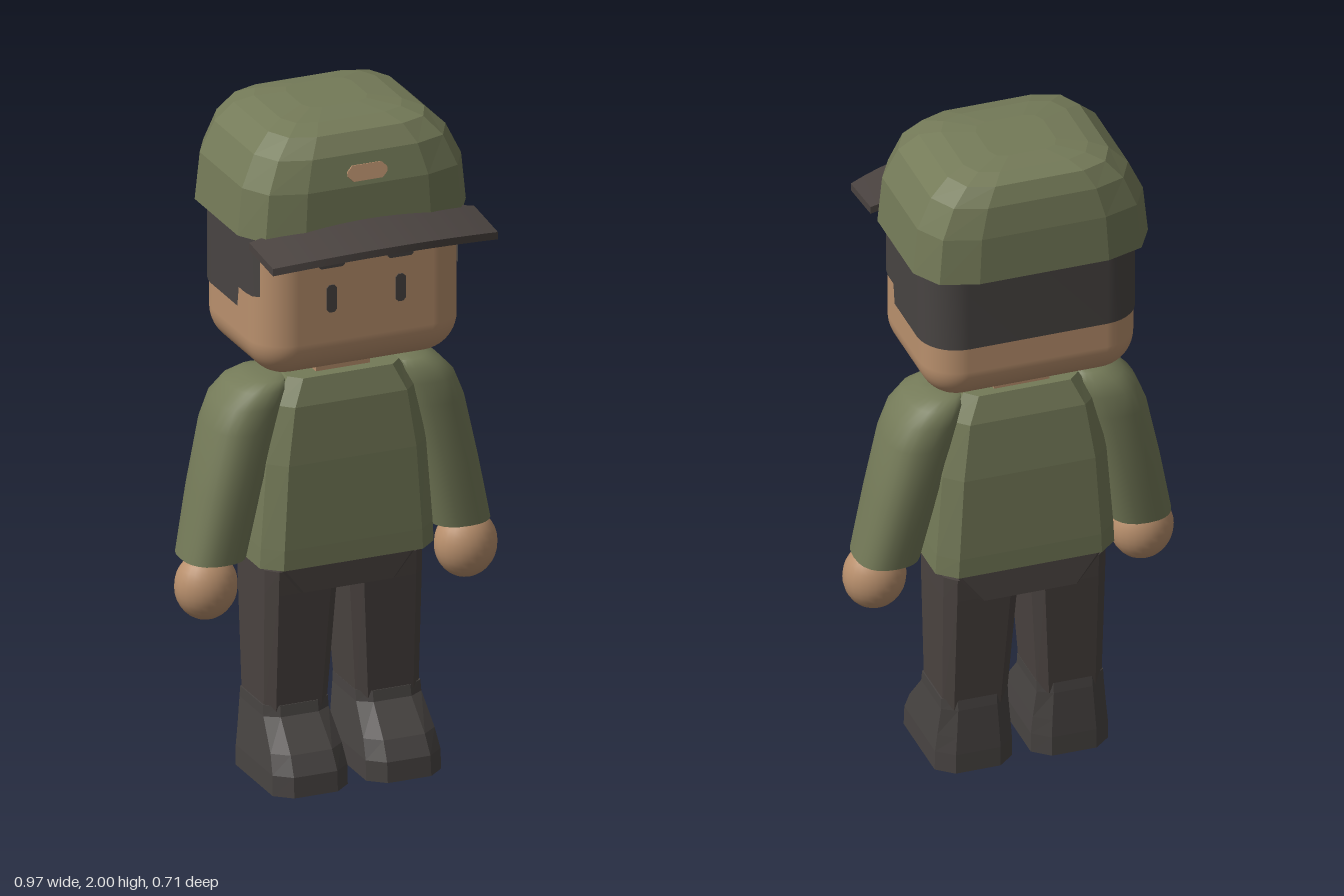
import * as THREE from 'three';
import { toCreasedNormals } from 'three/addons/utils/BufferGeometryUtils.js';
import { RoundedBoxGeometry } from 'three/addons/geometries/RoundedBoxGeometry.js';

const paint = (name, color) => Object.assign(new THREE.MeshStandardMaterial({ color }), { name });

// Unit outlines in x and z, listed counterclockwise from +x towards +z
function symmetric(quarter) {
  const flip = (sx, sz) => quarter.map(([x, z]) => [x * sx, z * sz]);
  return [...flip(1, 1), ...flip(-1, 1).reverse(), ...flip(-1, -1), ...flip(1, -1).reverse()];
}
const chamfered = (cx, cz) => symmetric([[1, 1 - cz], [1 - cx, 1]]);
const round = Array.from({ length: 24 }, (_, i) => {
  const a = (i / 24) * Math.PI * 2, p = (v) => Math.sign(v) * Math.abs(v) ** 0.8;
  return [p(Math.cos(a)), p(Math.sin(a))];
});

// Joins scaled outlines, bottom to top; each ring is [y, xMin, xMax, zMin, zMax]
function loft(outline, rings, crease = 0) {
  const n = outline.length, pos = [], index = [];
  for (const [y, x0, x1, z0, z1] of rings)
    for (const [u, v] of outline)
      pos.push((x0 + x1) / 2 + (u * (x1 - x0)) / 2, y, (z0 + z1) / 2 + (v * (z1 - z0)) / 2);
  for (let r = 0; r < rings.length - 1; r++)
    for (let j = 0; j < n; j++) {
      const a = r * n + j, b = r * n + ((j + 1) % n);
      index.push(a, a + n, b, b, a + n, b + n);
    }
  const top = (rings.length - 1) * n;
  for (let j = 1; j < n - 1; j++) index.push(0, j, j + 1, top, top + j + 1, top + j);
  const g = new THREE.BufferGeometry();
  g.setAttribute('position', new THREE.Float32BufferAttribute(pos, 3));
  g.setIndex(index);
  if (crease) return toCreasedNormals(g, crease);
  const flat = g.toNonIndexed();
  flat.computeVertexNormals();
  return flat;
}

// Curved visor: a bent slab with a bowed front edge
function visorGeometry() {
  const g = new THREE.BoxGeometry(2, 0.022, 1, 16, 1, 1), p = g.attributes.position;
  for (let i = 0; i < p.count; i++) {
    const u = p.getX(i), t = p.getZ(i) + 0.5;
    const z = 0.13 + t * (0.225 - 0.06 * u * u);
    p.setXYZ(i, u * 0.343, p.getY(i) + 1.722 - 0.04 * u * u - 0.11 * (z - 0.13), z);
  }
  g.computeVertexNormals();
  return g;
}

// Hair band wrapped around the sides and back of the head
function hairGeometry() {
  const half = [[0.302, 0.11, 1.515], [0.314, 0.085, 1.51], [0.32, 0.05, 1.51], [0.32, 0.005, 1.51], [0.32, -0.005, 1.45]];
  for (let i = 0; i <= 8; i++) {
    const a = (i / 8) * Math.PI / 2;
    half.push([0.205 + 0.115 * Math.cos(a), -0.19 - 0.115 * Math.sin(a), 1.45]);
  }
  const path = [...half, ...half.map(([x, z, y]) => [-x, z, y]).reverse()];
  const pos = [], index = [];
  path.forEach(([x, z, y], i) => {
    pos.push(x, y, z, x, 1.72, z);
    const a = i * 2;
    if (i < path.length - 1) index.push(a, a + 2, a + 1, a + 1, a + 2, a + 3);
  });
  const g = new THREE.BufferGeometry();
  g.setAttribute('position', new THREE.Float32BufferAttribute(pos, 3));
  g.setIndex(index);
  g.computeVertexNormals();
  return g;
}

// Thin plate with clipped corners, facing +z
function plate(w, h, c) {
  const pts = symmetric([[w / 2, h / 2 - c], [w / 2 - c, h / 2]]).map(([x, y]) => new THREE.Vector2(x, y));
  return new THREE.ExtrudeGeometry(new THREE.Shape(pts), { depth: 0.006, bevelEnabled: false });
}

export function createModel() {
  const green = paint('olive cloth', 0x747a58);
  const skin = paint('skin', 0xb9906d);
  const dark = paint('dark cloth', 0x4a4340);
  const hairMat = paint('dark hair and boots', 0x484442);
  hairMat.side = THREE.DoubleSide;

  const model = new THREE.Group();
  model.name = 'figure';
  const add = (name, geometry, material, x = 0, y = 0, z = 0) => {
    const m = new THREE.Mesh(geometry, material);
    m.name = name;
    m.position.set(x, y, z);
    model.add(m);
    return m;
  };

  // Head, hair and face
  add('head', new RoundedBoxGeometry(0.63, 0.6, 0.46, 6, 0.11), skin, 0, 1.56, -0.07);
  add('hair', hairGeometry(), hairMat);
  add('neck', new THREE.BoxGeometry(0.165, 0.16, 0.165), skin, 0, 1.22, -0.083);

  // Cap
  const capOutline = symmetric([[1, 0.56], [0.86, 0.875], [0.55, 1]]);
  add('cap', loft(capOutline, [
    [1.69, -0.348, 0.348, -0.355, 0.178],
    [1.83, -0.334, 0.334, -0.35, 0.175],
    [1.92, -0.292, 0.292, -0.336, 0.154],
    [1.972, -0.238, 0.238, -0.312, 0.118],
    [1.99, -0.185, 0.185, -0.27, 0.06],
    [2.0, -0.1, 0.1, -0.21, -0.02],
  ]), green);
  add('visor', visorGeometry(), dark);
  add('badge', plate(0.12, 0.046, 0.016), skin, 0, 1.866, 0.166).rotation.x = -0.23;

  // Torso and hips
  add('jacket', loft(chamfered(0.2, 0.3), [
    [0.66, -0.265, 0.265, -0.237, 0.073],
    [0.72, -0.262, 0.262, -0.238, 0.073],
    [0.97, -0.243, 0.243, -0.232, 0.068],
    [1.14, -0.213, 0.213, -0.215, 0.058],
    [1.215, -0.17, 0.17, -0.19, 0.035],
  ]), green);
  add('hips', loft(chamfered(0.06, 0.06), [
    [0.572, -0.145, 0.145, -0.237, 0.04],
    [0.67, -0.225, 0.225, -0.232, 0.042],
  ]), dark);

  for (const s of [1, -1]) {
    const side = s > 0 ? 'left' : 'right';
    const mirror = (rings) => rings.map(([y, a, b, c, d]) => (s > 0 ? [y, a, b, c, d] : [y, -b, -a, c, d]));

    add(side + 'Eye', plate(0.03, 0.082, 0.008), hairMat, s * 0.105, 1.498, 0.157);
    add(side + 'Eyebrow', plate(0.078, 0.022, 0.006), hairMat, s * 0.105, 1.602, 0.157);

    // Sleeve with hand
    add(side + 'Sleeve', loft(round, mirror([
      [0.687, 0.28, 0.465, -0.175, 0.032],
      [0.88, 0.235, 0.427, -0.195, 0.038],
      [1.07, 0.185, 0.385, -0.207, 0.042],
      [1.14, 0.165, 0.357, -0.205, 0.04],
      [1.185, 0.155, 0.315, -0.19, 0.03],
      [1.207, 0.155, 0.27, -0.165, 0.01],
      [1.213, 0.165, 0.235, -0.13, -0.03],
    ]), 1), green);
    const hand = add(side + 'Hand', new THREE.SphereGeometry(1, 24, 16), skin, s * 0.396, 0.605, -0.05);
    hand.scale.set(0.091, 0.1, 0.081);

    // Trouser leg
    add(side + 'Leg', loft(chamfered(0.28, 0.25), mirror([
      [0.2, 0.045, 0.236, -0.19, 0.012],
      [0.57, 0.02, 0.24, -0.216, 0.032],
      [0.642, 0.02, 0.24, -0.22, 0.035],
    ])), dark);

    // Boot
    add(side + 'Boot', loft(chamfered(0.42, 0.24), mirror([
      [0, 0.028, 0.257, -0.202, 0.138],
      [0.06, 0.028, 0.256, -0.202, 0.134],
      [0.115, 0.033, 0.25, -0.2, 0.103],
      [0.2, 0.042, 0.241, -0.196, 0.022],
      [0.232, 0.042, 0.24, -0.192, 0.016],
    ])), hairMat);
  }
  return model;
}
